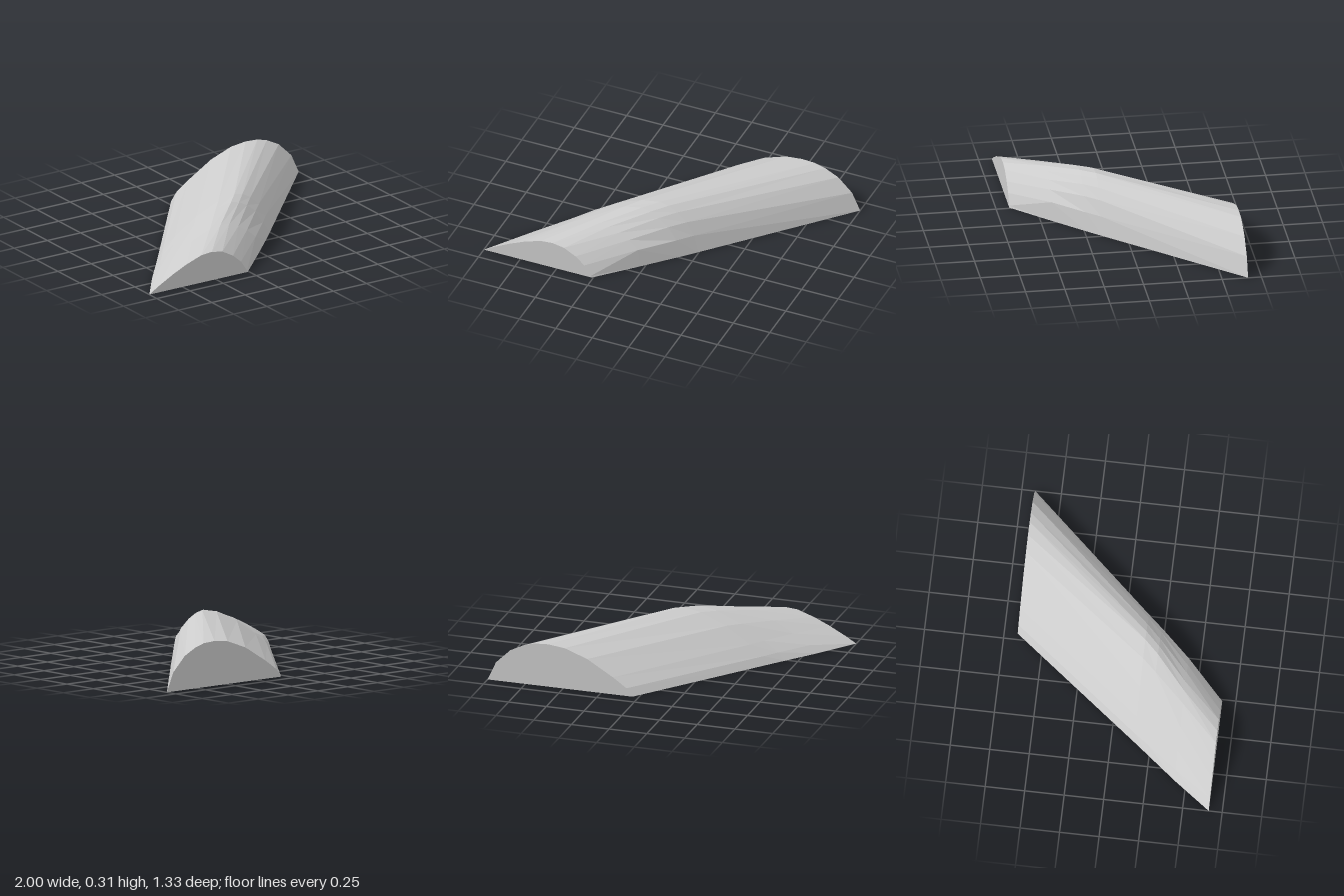
import * as THREE from 'three';

// Cross-sections from front to back: z, then [x, y] from trailing edge over the crest to leading edge
const SECTIONS = [
  [0.665, [[-1, 0], [-0.93, 0.042], [-0.82, 0.1], [-0.72, 0.145], [-0.61, 0.183], [-0.53, 0.19], [-0.45, 0.176], [-0.37, 0.132], [-0.31, 0.08], [-0.265, 0.012], [-0.26, 0]]],
  [0.43, [[-0.825, 0], [-0.77, 0.047], [-0.66, 0.112], [-0.53, 0.185], [-0.39, 0.238], [-0.31, 0.252], [-0.245, 0.243], [-0.175, 0.217], [-0.11, 0.178], [-0.045, 0.12], [-0.025, 0]]],
  [0.24, [[-0.672, 0], [-0.625, 0.05], [-0.53, 0.117], [-0.38, 0.213], [-0.22, 0.282], [-0.105, 0.304], [-0.045, 0.291], [0.015, 0.26], [0.08, 0.207], [0.135, 0.12], [0.16, 0]]],
  [0.15, [[-0.6, 0], [-0.56, 0.05], [-0.47, 0.118], [-0.31, 0.223], [-0.14, 0.295], [-0.02, 0.315], [0.04, 0.302], [0.1, 0.268], [0.165, 0.21], [0.215, 0.12], [0.245, 0]]],
  [-0.665, [[0.04, 0], [0.08, 0.052], [0.17, 0.115], [0.34, 0.217], [0.49, 0.272], [0.6, 0.285], [0.69, 0.28], [0.76, 0.26], [0.85, 0.215], [0.945, 0.122], [1, 0]]],
];

// Lofts the sections into a closed solid with flat end caps and a flat underside
function loft(sections) {
  const n = sections[0][1].length;
  const positions = [];
  const index = [];
  for (const [z, profile] of sections) {
    for (const [x, y] of profile) positions.push(x, y, z);
  }
  const last = (sections.length - 1) * n;
  for (let i = 0; i < last; i += n) {
    for (let j = 0; j < n; j++) {
      const k = (j + 1) % n;
      index.push(i + j, i + k, i + n + k, i + j, i + n + k, i + n + j);
    }
  }
  for (let j = 1; j < n - 1; j++) {
    index.push(0, j + 1, j);
    index.push(last, last + j, last + j + 1);
  }
  const indexed = new THREE.BufferGeometry();
  indexed.setAttribute('position', new THREE.Float32BufferAttribute(positions, 3));
  indexed.setIndex(index);
  const geometry = indexed.toNonIndexed();
  geometry.computeVertexNormals();
  return geometry;
}

export function createModel() {
  const group = new THREE.Group();
  group.name = 'sweptWingSegment';
  const material = new THREE.MeshStandardMaterial({ color: 0xcccccc, flatShading: true });
  const body = new THREE.Mesh(loft(SECTIONS), material);
  body.name = 'wingBody';
  group.add(body);
  return group;
}
